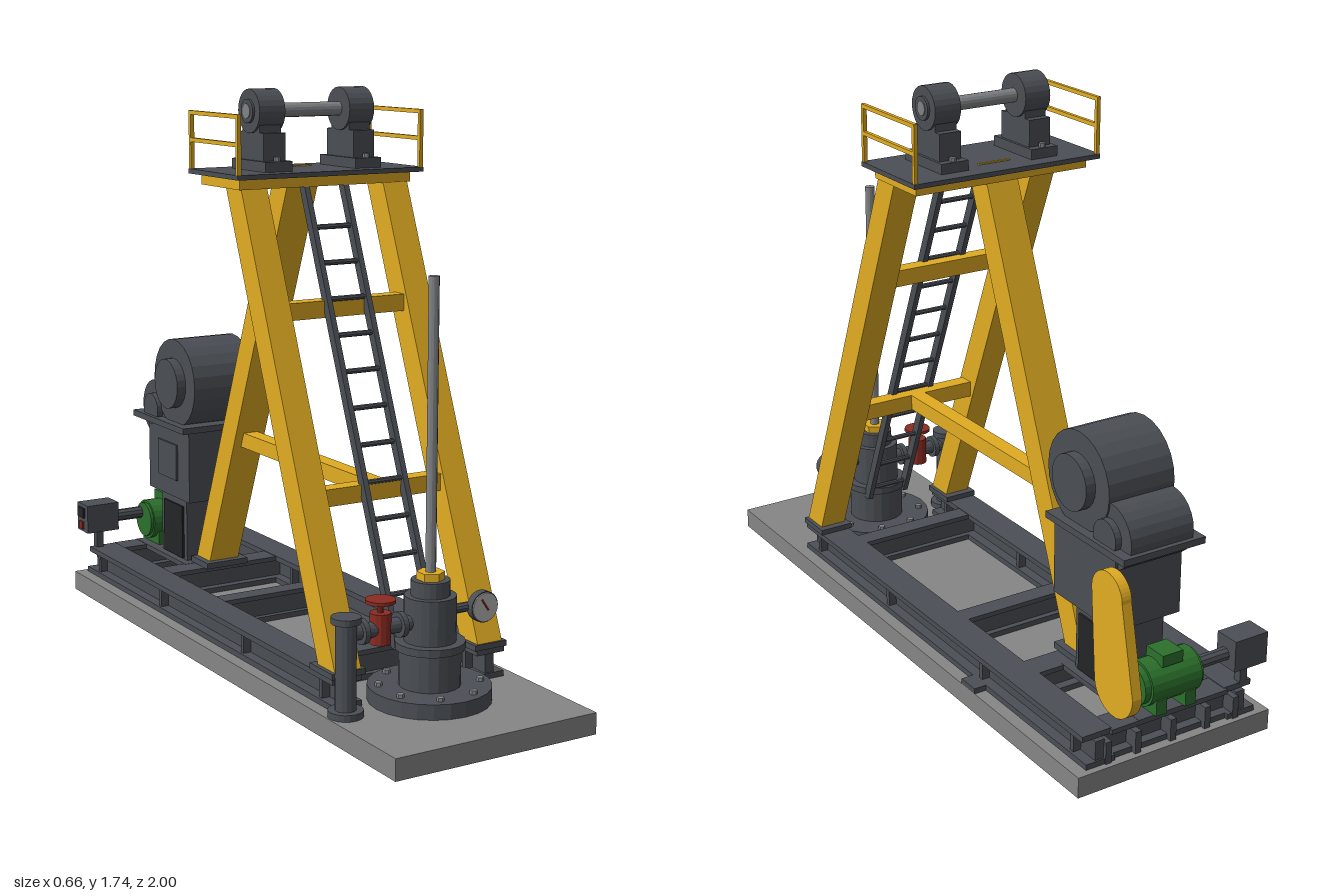
import * as THREE from 'three';

const mat = (name, color) => {
  const m = new THREE.MeshStandardMaterial({ color });
  m.name = name;
  return m;
};

export function createModel() {
  const root = new THREE.Group();
  root.name = 'pumpTower';
  const steel = mat('dark steel', 0x4b4f55);
  const yellow = mat('safety yellow', 0xe0ac22);
  const concrete = mat('concrete', 0x868686);
  const rodGrey = mat('polished rod', 0x808386);
  const black = mat('black panel', 0x232526);
  const green = mat('motor green', 0x2c702c);
  const red = mat('valve red', 0x8c2b22);
  const dial = mat('gauge dial', 0xb8b8b8);

  const add = (name, geo, m, x = 0, y = 0, z = 0) => {
    const mesh = new THREE.Mesh(geo, m);
    mesh.name = name;
    mesh.position.set(x, y, z);
    root.add(mesh);
    return mesh;
  };
  // Box from its lower and upper limits on each axis
  const box = (name, m, x0, x1, y0, y1, z0, z1) =>
    add(name, new THREE.BoxGeometry(x1 - x0, y1 - y0, z1 - z0), m, (x0 + x1) / 2, (y0 + y1) / 2, (z0 + z1) / 2);
  // Faceted cylinder along an axis, centred at x, y, z
  const cyl = (name, m, axis, r, len, x, y, z, sides = 20) => {
    let g = new THREE.CylinderGeometry(r, r, len, sides);
    if (axis === 'x') g.rotateZ(Math.PI / 2);
    if (axis === 'z') g.rotateX(Math.PI / 2);
    g = g.toNonIndexed();
    g.computeVertexNormals();
    return add(name, g, m, x, y, z);
  };
  // Upright cylinder from y0 to y1
  const post = (name, m, r, y0, y1, x, z, sides) => cyl(name, m, 'y', r, y1 - y0, x, (y0 + y1) / 2, z, sides);
  // Leaning beam with level ends: depth centre runs from z0 at y0 to z1 at y1
  const lean = (name, m, x, w, depth, y0, z0, y1, z1) => {
    let g = new THREE.BoxGeometry(w, y1 - y0, depth);
    const p = g.attributes.position;
    for (let i = 0; i < p.count; i++) p.setZ(i, p.getZ(i) + (p.getY(i) > 0 ? z1 : z0));
    g = g.toNonIndexed();
    g.computeVertexNormals();
    return add(name, g, m, x, (y0 + y1) / 2, 0);
  };

  // Slab and skid
  box('baseSlab', concrete, -0.33, 0.33, 0, 0.063, -1, 1);
  for (const s of [-1, 1]) {
    const x = s * 0.243;
    box('skidLowerFlange', steel, x - 0.048, x + 0.048, 0.063, 0.08, -0.98, 0.625);
    box('skidWeb', steel, x - 0.015, x + 0.015, 0.08, 0.138, -0.975, 0.62);
    box('skidUpperFlange', steel, x - 0.048, x + 0.048, 0.138, 0.155, -0.96, 0.625);
    for (const z of [-0.9, -0.44, 0.1, 0.55]) box('skidStiffener', steel, x - 0.04, x + 0.04, 0.08, 0.138, z - 0.008, z + 0.008);
  }
  box('anchorClip', steel, 0.285, 0.33, 0.063, 0.08, -0.48, -0.41);
  for (const z of [-0.93, -0.57, -0.2, 0.42]) {
    const h = z < -0.5 ? 0.04 : 0.03;
    box('crossMemberTop', steel, -0.2, 0.2, 0.138, 0.153, z - h, z + h);
    box('crossMemberWeb', steel, -0.23, 0.23, 0.08, 0.138, z - 0.012, z + 0.012);
    box('crossMemberBottom', steel, -0.2, 0.2, 0.063, 0.08, z - h, z + h);
  }
  box('gearboxDeck', steel, -0.11, 0.11, 0.138, 0.154, -0.97, -0.6);
  for (const x of [-0.22, -0.12, 0, 0.12, 0.22]) {
    box('rearLug', steel, x - 0.01, x + 0.01, 0.063, 0.13, -0.985, -0.94);
  }

  // A-frame: two front legs and one rear leg
  const legZ = (y) => 0.58 - (0.515 * (y - 0.17)) / 1.285;
  for (const s of [-1, 1]) {
    box('frontFootPad', steel, s * 0.24 - 0.055, s * 0.24 + 0.055, 0.155, 0.172, 0.51, 0.63);
    lean('frontLeg', yellow, s * 0.24, 0.085, 0.09, 0.17, 0.58, 1.457, 0.065);
  }
  box('rearFootPad', steel, -0.075, 0.075, 0.153, 0.172, -0.625, -0.51);
  lean('rearLeg', yellow, 0, 0.106, 0.09, 0.17, -0.58, 1.457, -0.065);
  for (const y of [0.61, 1.112]) box('crossBrace', yellow, -0.2, 0.2, y - 0.025, y + 0.025, legZ(y) - 0.025, legZ(y) + 0.025);
  box('longBrace', yellow, -0.025, 0.025, 0.587, 0.635, -0.39, 0.39);

  // Ladder along the front legs
  const ladderZ = (y) => legZ(y) + 0.035;
  for (const s of [-1, 1]) lean('ladderRail', steel, s * 0.067, 0.017, 0.03, 0.2, ladderZ(0.2), 1.457, ladderZ(1.457));
  for (let i = 0; i < 12; i++) {
    const y = 0.24 + i * 0.1;
    cyl('ladderRung', steel, 'x', 0.008, 0.13, 0, y, ladderZ(y), 8);
  }

  // Platform and railings
  box('topCap', yellow, -0.29, 0.29, 1.455, 1.486, -0.115, 0.115);
  box('platform', steel, -0.315, 0.315, 1.486, 1.5, -0.15, 0.15);
  box('legTab', yellow, -0.053, 0.053, 1.5, 1.504, -0.068, -0.06);
  for (const s of [-1, 1]) {
    const x = s * 0.308;
    for (const z of [-0.142, 0.142]) box('railPost', yellow, x - 0.006, x + 0.006, 1.49, 1.67, z - 0.006, z + 0.006);
    for (const y of [1.585, 1.664]) box('rail', yellow, x - 0.006, x + 0.006, y - 0.006, y + 0.006, -0.142, 0.142);
  }

  // Bearings and crown shaft
  for (const s of [-1, 1]) {
    const x = s * 0.152;
    box('bearingBase', steel, x - 0.045, x + 0.045, 1.5, 1.53, -0.1, 0.1);
    box('bearingPlinth', steel, x - 0.036, x + 0.036, 1.53, 1.61, -0.074, 0.074);
    box('bearingNeck', steel, x - 0.036, x + 0.036, 1.6, 1.67, -0.05, 0.05);
    cyl('bearingDrum', steel, 'x', 0.064, 0.085, x, 1.671, 0, 24);
    cyl('bearingCap', steel, 'x', 0.035, 0.01, s * 0.197, 1.671, 0);
    for (const z of [-0.087, 0.087]) post('bearingBolt', rodGrey, 0.01, 1.53, 1.542, x, z, 6);
  }
  cyl('crownShaft', rodGrey, 'x', 0.021, 0.408, 0, 1.671, 0, 16);

  // Wellhead
  const wz = 0.67;
  post('wellFlange', steel, 0.176, 0.063, 0.107, 0, wz, 24);
  post('wellBody', steel, 0.088, 0.107, 0.215, 0, wz);
  post('wellCollar', steel, 0.1, 0.213, 0.235, 0, wz);
  post('wellUpper', steel, 0.074, 0.235, 0.365, 0, wz);
  post('wellCap', steel, 0.055, 0.365, 0.41, 0, wz);
  post('gland', yellow, 0.04, 0.41, 0.432, 0, wz, 6);
  post('polishedRod', rodGrey, 0.015, 0.43, 1.255, 0, wz, 12);
  for (let i = 0; i < 8; i++) {
    const a = ((i + 0.5) * Math.PI) / 4;
    post('flangeBolt', rodGrey, 0.011, 0.107, 0.118, Math.sin(a) * 0.145, wz + Math.cos(a) * 0.145, 6);
  }

  // Flow line with valve and standpipe
  cyl('flowLine', steel, 'x', 0.022, 0.25, -0.155, 0.295, wz, 14);
  cyl('flowFlange', steel, 'x', 0.036, 0.016, -0.1, 0.295, wz);
  cyl('flowFlange', steel, 'x', 0.036, 0.016, -0.225, 0.295, wz);
  post('valveBody', red, 0.03, 0.252, 0.34, -0.165, wz, 12);
  post('valveStem', red, 0.008, 0.34, 0.372, -0.165, wz, 8);
  post('valveWheel', red, 0.043, 0.368, 0.378, -0.165, wz, 16);
  post('standpipeFoot', steel, 0.05, 0.063, 0.082, -0.276, wz);
  post('standpipe', steel, 0.03, 0.08, 0.335, -0.276, wz, 14);
  post('standpipeCap', steel, 0.042, 0.328, 0.346, -0.276, wz);

  // Pressure gauge
  cyl('gaugePipe', steel, 'x', 0.014, 0.1, 0.115, 0.31, wz, 10);
  cyl('gaugeCase', steel, 'z', 0.045, 0.024, 0.165, 0.31, wz + 0.018, 24);
  cyl('gaugeFace', dial, 'z', 0.042, 0.006, 0.165, 0.31, wz + 0.031, 24);
  const needle = add('gaugeNeedle', new THREE.BoxGeometry(0.005, 0.04, 0.004), red, 0.163, 0.318, wz + 0.035);
  needle.rotation.z = 0.6;

  // Gearbox on its pedestal
  box('pedestal', steel, -0.085, 0.085, 0.154, 0.372, -0.815, -0.635);
  for (const s of [-1, 1]) {
    box('pedestalPanel', black, s * 0.088 - 0.004, s * 0.088 + 0.004, 0.158, 0.335, -0.79, -0.655);
  }
  box('gearboxBody', steel, -0.113, 0.113, 0.37, 0.606, -0.85, -0.56);
  box('gearboxSidePlate', steel, -0.12, -0.113, 0.43, 0.55, -0.77, -0.64);
  box('gearboxFlange', steel, -0.138, 0.138, 0.604, 0.624, -0.92, -0.55);
  cyl('gearDrum', steel, 'x', 0.145, 0.22, 0, 0.755, -0.665, 24);
  cyl('gearHub', steel, 'x', 0.082, 0.282, 0, 0.755, -0.665, 24);
  cyl('pinionDrum', steel, 'x', 0.096, 0.21, 0, 0.645, -0.812, 24);
  cyl('pinionHub', steel, 'x', 0.052, 0.25, 0, 0.645, -0.812, 20);

  // Belt guard: two round ends joined by straight sides
  const guard = new THREE.Shape();
  guard.absarc(0.87, 0.505, 0.07, 0, Math.PI, false);
  guard.absarc(0.91, 0.24, 0.088, Math.PI, Math.PI * 2, false);
  guard.closePath();
  const guardGeo = new THREE.ExtrudeGeometry(guard, { depth: 0.032, bevelEnabled: false, curveSegments: 10 });
  guardGeo.rotateY(Math.PI / 2);
  add('beltGuard', guardGeo, yellow, 0.123, 0, 0);

  // Motor
  const my = 0.235, mz = -0.92;
  cyl('motor', green, 'x', 0.066, 0.17, -0.01, my, mz, 20);
  cyl('motorEnd', green, 'x', 0.058, 0.2, -0.005, my, mz, 20);
  cyl('motorShaft', steel, 'x', 0.015, 0.1, 0.1, my, mz, 10);
  box('motorTerminalBox', green, -0.04, 0.03, 0.29, 0.325, mz - 0.045, mz + 0.03);
  for (const x of [-0.06, 0.04]) box('motorFoot', green, x - 0.018, x + 0.018, 0.154, 0.2, mz - 0.06, mz + 0.06);

  // Control box on a post
  box('controlBox', steel, -0.32, -0.205, 0.215, 0.31, -0.99, -0.91);
  box('controlPost', steel, -0.275, -0.25, 0.15, 0.22, -0.962, -0.937);
  cyl('controlConduit', steel, 'x', 0.02, 0.12, -0.155, 0.255, -0.945, 10);
  box('controlButton', red, -0.328, -0.32, 0.225, 0.25, -0.965, -0.94);
  box('controlSwitch', black, -0.328, -0.32, 0.265, 0.298, -0.975, -0.93);

  return root;
}
